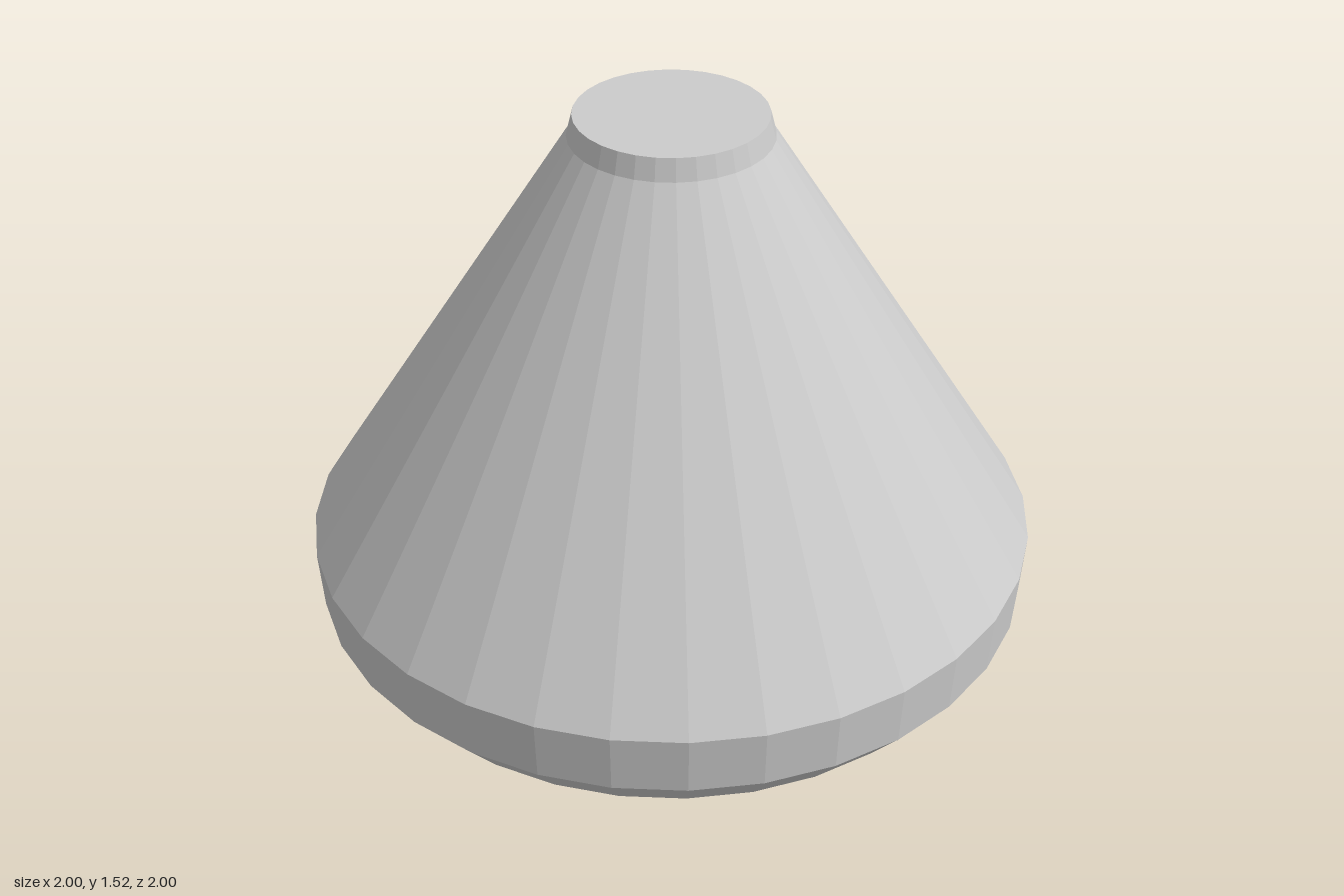
import * as THREE from 'three';

const SIDES = 32;

export function createModel() {
  const group = new THREE.Group();
  group.name = 'taperedCone';
  const material = new THREE.MeshStandardMaterial({ color: 0xcccccc, flatShading: true });

  // Turned section: points are [radius, height], bottom to top
  const addTurned = (name, points) => {
    const profile = points.map(([r, y]) => new THREE.Vector2(r, y));
    const mesh = new THREE.Mesh(new THREE.LatheGeometry(profile, SIDES), material);
    mesh.name = name;
    group.add(mesh);
  };

  // Flat end disc, facing up (1) or down (-1)
  const addDisc = (name, radius, y, facing) => {
    const geometry = new THREE.CircleGeometry(radius, SIDES).rotateX(-facing * Math.PI / 2);
    const mesh = new THREE.Mesh(geometry, material);
    mesh.name = name;
    mesh.position.y = y;
    group.add(mesh);
  };

  addDisc('bottomFace', 0.885, 0, -1);
  addTurned('bottomChamfer', [[0.885, 0], [0.988, 0.122]]);
  addTurned('rimBand', [[0.988, 0.122], [1, 0.29]]);
  addTurned('coneBody', [[1, 0.29], [0.27, 1.46]]);
  addTurned('neck', [[0.27, 1.46], [0.255, 1.52]]);
  addDisc('topFace', 0.255, 1.52, 1);

  return group;
}
